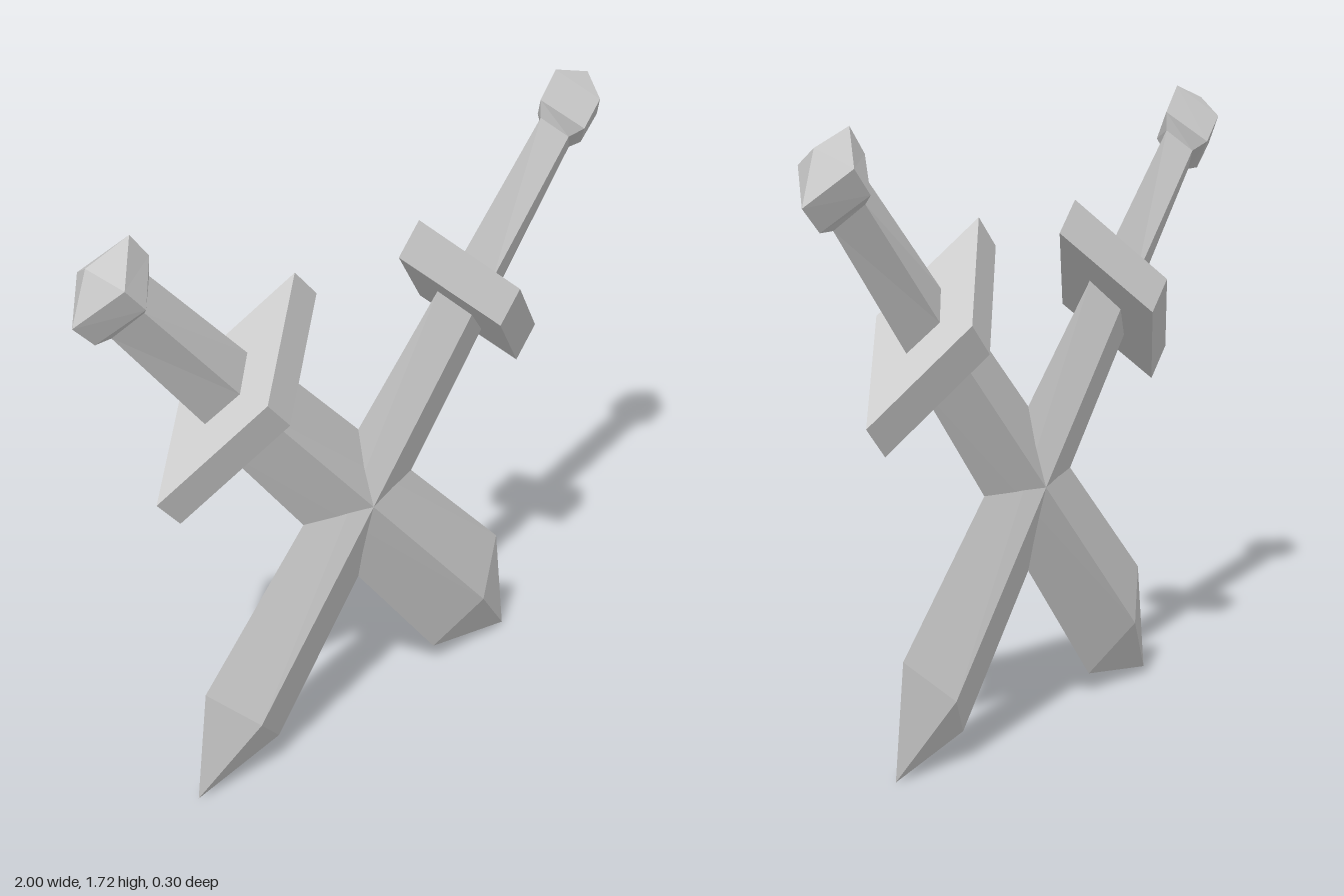
import * as THREE from 'three';

const material = new THREE.MeshStandardMaterial({ color: 0xcccccc, flatShading: true });

// Diamond-section loft along y; each station is [y, halfWidth, halfDepth].
function diamondLoft(name, stations) {
  const profile = stations.map(([y, w]) => new THREE.Vector2(w, y));
  let geometry = new THREE.LatheGeometry(profile, 4);
  const pos = geometry.attributes.position;
  for (let i = 0; i < pos.count; i++) {
    const [, w, d] = stations[i % stations.length];
    if (w > 0) pos.setZ(i, pos.getZ(i) * d / w);
  }
  geometry = geometry.toNonIndexed();
  geometry.computeVertexNormals();
  const mesh = new THREE.Mesh(geometry, material);
  mesh.name = name;
  return mesh;
}

// One sword, pointing down, with its origin where the blades cross.
function createSword(name) {
  const sword = new THREE.Group();
  sword.name = name;
  sword.add(
    diamondLoft('blade', [[-0.93, 0, 0], [-0.674, 0.19, 0.073], [0.61, 0.131, 0.045], [0.61, 0, 0]]),
    diamondLoft('guard', [[0.605, 0, 0], [0.605, 0.352, 0.15], [0.722, 0.352, 0.15], [0.722, 0, 0]]),
    diamondLoft('handle', [[0.72, 0, 0], [0.72, 0.108, 0.05], [1.184, 0.09, 0.05], [1.184, 0, 0]]),
    diamondLoft('pommel', [[1.182, 0, 0], [1.182, 0.09, 0.05], [1.219, 0.129, 0.085],
      [1.315, 0.134, 0.085], [1.383, 0, 0]])
  );
  return sword;
}

export function createModel() {
  const model = new THREE.Group();
  model.name = 'crossedSwords';
  // Two mirrored swords crossing at the centre line
  for (const side of [1, -1]) {
    const sword = createSword(side > 0 ? 'leftHiltSword' : 'rightHiltSword');
    sword.position.y = 0.676;
    sword.rotation.z = -side * THREE.MathUtils.degToRad(43.4);
    model.add(sword);
  }
  return model;
}
